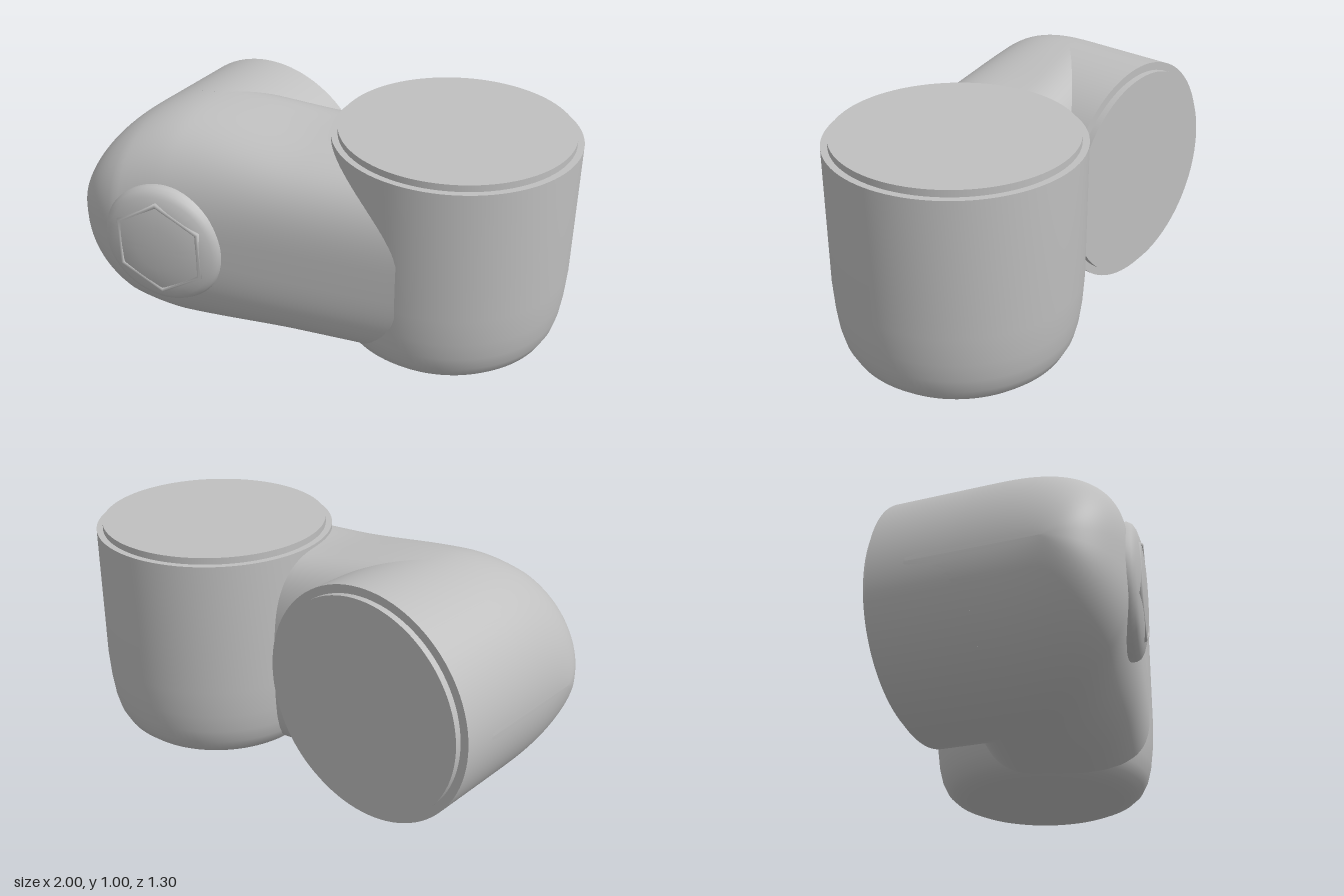
import * as THREE from 'three';
import { toCreasedNormals } from 'three/addons/utils/BufferGeometryUtils.js';

const grey = new THREE.MeshStandardMaterial({ color: 0xbfbfbf });
grey.name = 'light grey casing';

function part(name, geometry, x = 0, y = 0, z = 0) {
  const mesh = new THREE.Mesh(geometry, grey);
  mesh.name = name;
  mesh.position.set(x, y, z);
  return mesh;
}

function lathe(profile, segments = 96) {
  const points = profile.map(([r, y]) => new THREE.Vector2(r, y));
  return toCreasedNormals(new THREE.LatheGeometry(points, segments), 0.6);
}

// Superellipse section of the elbow at a given x
function section(x) {
  const t = THREE.MathUtils.smoothstep(x, -0.5, 0.05);
  const left = Math.max(0, (-0.5 - x) / 0.5);
  const end = Math.max(0, (-0.7 - x) / 0.3);
  const front = x < -0.7
    ? 0.38 + 0.24 * Math.sqrt(Math.max(0, 1 - end * end))
    : 0.62 - 0.212 * (x + 0.7);
  return {
    height: x < -0.5 ? 0.5 * Math.sqrt(Math.max(0, 1 - left * left)) : 0.5 - 0.046 * t,
    front,
    middle: x < -0.5 ? 0.1 : 0.1 - 0.2 * (x + 0.5),
    power: 2.7 + 0.4 * t,
  };
}

// Smooth loft: rounded outer corner on the left, tapering neck to the right
function elbowGeometry() {
  const rows = 64, sides = 120, positions = [], index = [];
  for (let i = 0; i <= rows; i++) {
    const x = -1 + 1.5 * (1 - Math.cos((i / rows) * Math.PI / 2));
    const s = section(x);
    for (let j = 0; j < sides; j++) {
      const a = (j / sides) * Math.PI * 2;
      const c = Math.cos(a), n = Math.sin(a), e = 2 / s.power;
      const depth = c > 0 ? s.front - s.middle : 0.28;
      positions.push(
        x,
        0.504 + s.height * Math.sign(n) * Math.abs(n) ** e,
        s.middle + depth * Math.sign(c) * Math.abs(c) ** e,
      );
      if (i < rows) {
        const k = (j + 1) % sides;
        const p = i * sides, q = p + sides;
        index.push(p + j, q + j, q + k, p + j, q + k, p + k);
      }
    }
  }
  const geometry = new THREE.BufferGeometry();
  geometry.setAttribute('position', new THREE.Float32BufferAttribute(positions, 3));
  geometry.setIndex(index);
  geometry.computeVertexNormals();
  return geometry;
}

export function createModel() {
  const model = new THREE.Group();
  model.name = 'jointHousing';

  // Upright barrel with a rounded base and stepped top flange
  const barrel = lathe([
    [0, 0.04], [0.33, 0.04], [0.38, 0.048], [0.42, 0.065], [0.45, 0.092], [0.475, 0.14],
    [0.49, 0.2], [0.5, 0.28], [0.507, 0.4], [0.507, 0.972], [0, 0.972],
  ]);
  model.add(part('uprightBarrel', barrel, 0.493, 0, -0.143));
  model.add(part('topFlange', new THREE.CylinderGeometry(0.48, 0.48, 0.06, 96), 0.493, 0.97, -0.143));

  // Horizontal barrel facing the back, with its stepped flange
  const rearBarrel = new THREE.CylinderGeometry(0.5, 0.5, 0.4, 96).rotateX(Math.PI / 2);
  model.add(part('rearBarrel', rearBarrel, -0.5, 0.504, -0.1));
  const rearFlange = new THREE.CylinderGeometry(0.465, 0.465, 0.06, 96).rotateX(Math.PI / 2);
  model.add(part('rearFlange', rearFlange, -0.5, 0.504, -0.298));

  // Blended elbow joining both barrels
  model.add(part('elbow', elbowGeometry()));

  // Domed round cover with a low hexagonal ridge
  const cover = new THREE.Group();
  cover.name = 'roundCover';
  cover.position.set(-0.482, 0.505, 0.58);
  cover.rotation.y = 0.2;
  const dome = lathe([
    [0.268, -0.06], [0.268, -0.015], [0.258, 0.004], [0.235, 0.018],
    [0.19, 0.032], [0.1, 0.042], [0, 0.045],
  ], 64).rotateX(Math.PI / 2);
  cover.add(part('coverDome', dome));
  const ridge = new THREE.TorusGeometry(0.205, 0.012, 8, 6).rotateZ(Math.PI / 6);
  cover.add(part('hexRidge', ridge, 0, 0, 0.025));
  model.add(cover);

  return model;
}
